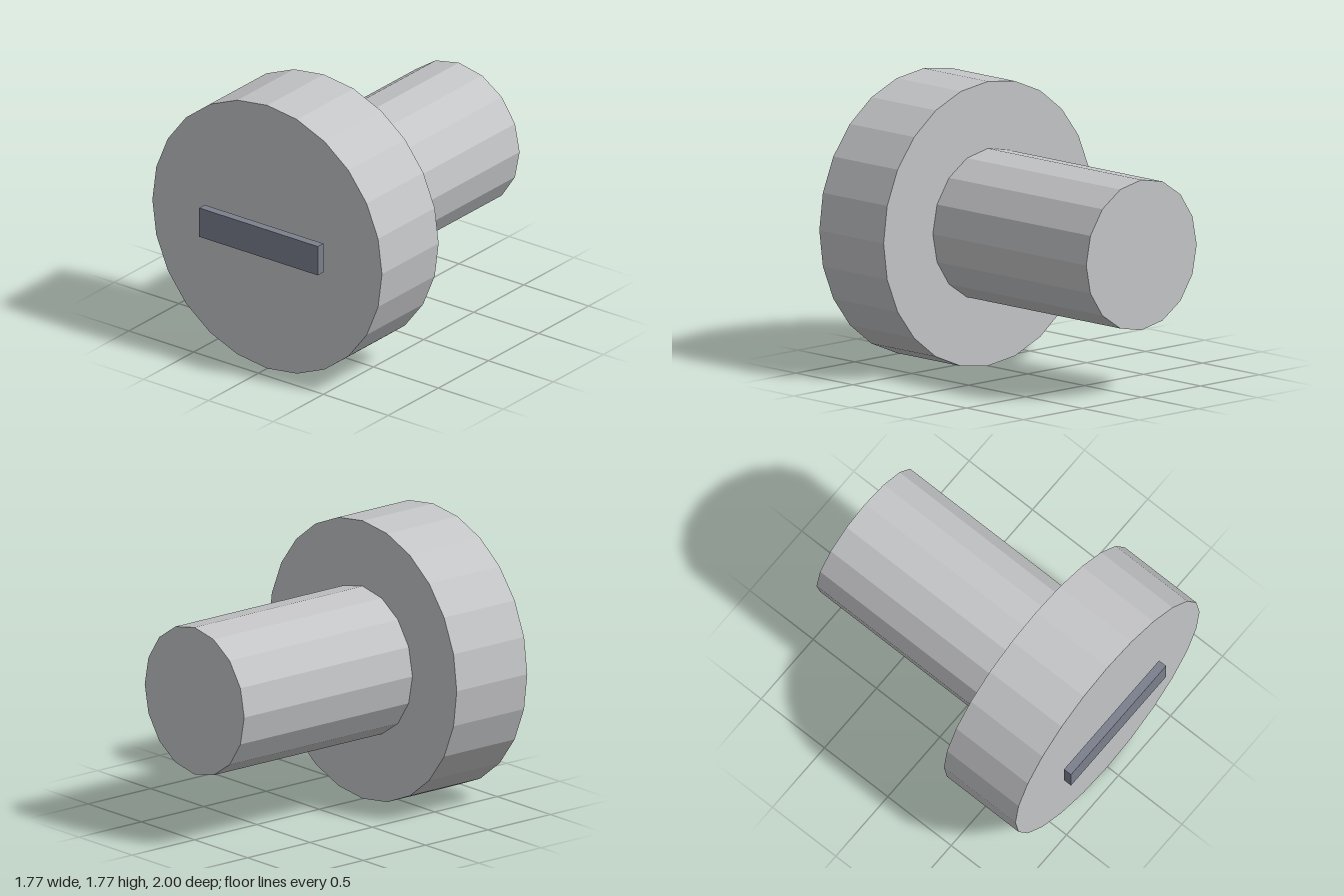
import * as THREE from 'three';

const CENTRE_Y = 0.885;

export function createModel() {
  const steel = new THREE.MeshStandardMaterial({ color: 0xc4c5c7, flatShading: true });
  steel.name = 'pale steel';
  const slate = new THREE.MeshStandardMaterial({ color: 0x7a808d, flatShading: true });
  slate.name = 'slate blue';

  const model = new THREE.Group();
  model.name = 'slottedBolt';

  // Adds a part lying along z between two depths
  const add = (name, geometry, material, back, front) => {
    const mesh = new THREE.Mesh(geometry, material);
    mesh.name = name;
    mesh.position.set(0, CENTRE_Y, (back + front) / 2);
    model.add(mesh);
  };
  const rod = (radius, length, sides) =>
    new THREE.CylinderGeometry(radius, radius, length, sides).rotateX(Math.PI / 2);

  // Wide faceted head and narrower shaft behind it
  add('head', rod(0.885, 0.565, 24), steel, 0.348, 0.913);
  add('shaft', rod(0.468, 1.348, 16), steel, -1, 0.348);

  // Slot bar floating just ahead of the head
  add('slot', new THREE.BoxGeometry(0.914, 0.194, 0.055), slate, 0.945, 1);

  return model;
}
